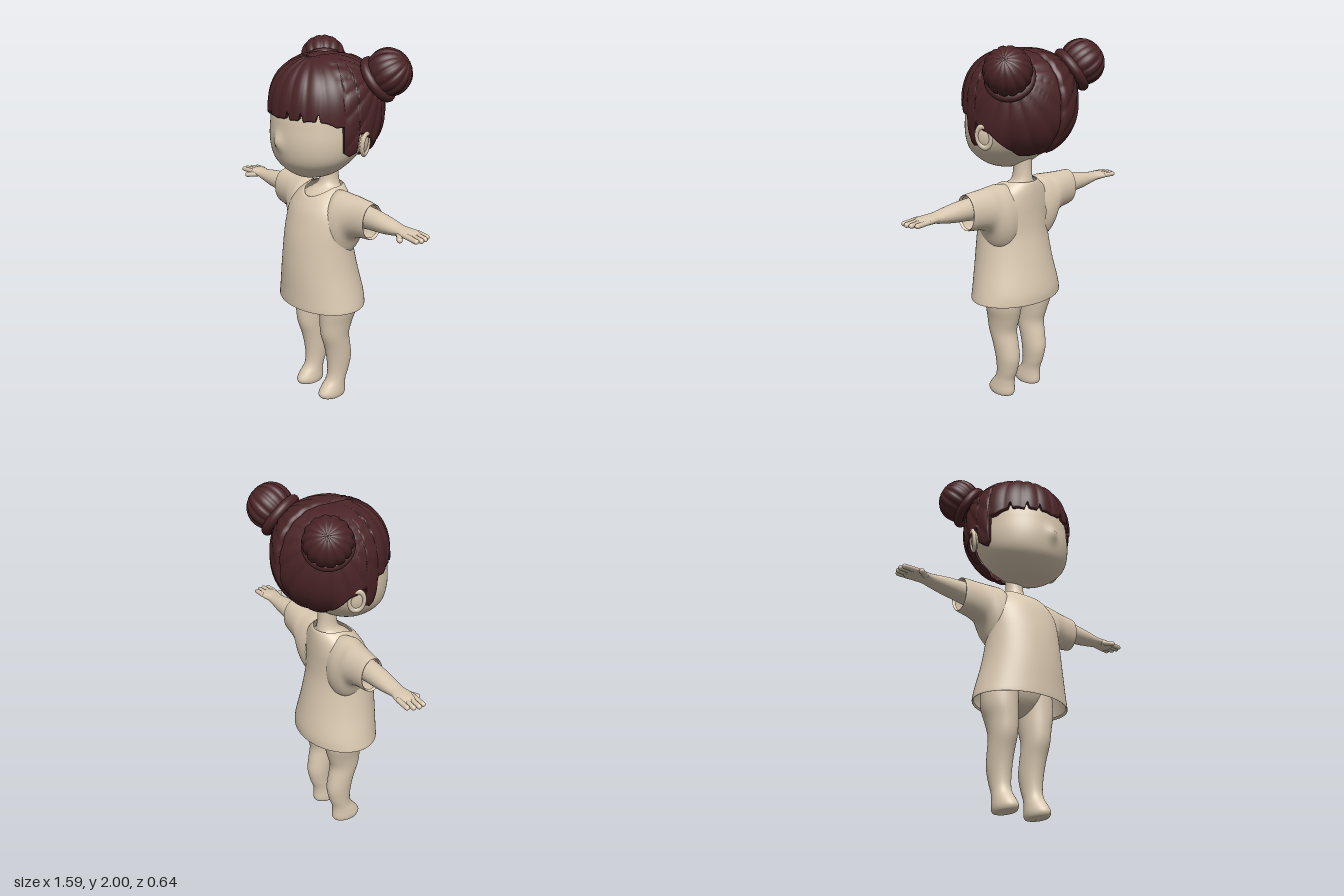
import * as THREE from 'three';

const beige = new THREE.MeshStandardMaterial({ color: 0xd9c8b0, side: THREE.DoubleSide });
beige.name = 'beige';
const maroon = new THREE.MeshStandardMaterial({ color: 0x4a2426, side: THREE.DoubleSide });
maroon.name = 'maroon';

// Smooth closed-ring surface from rings x segs points, faces turned outward
function grid(rings, segs, point) {
  const pos = [], idx = [], c = new THREE.Vector3();
  for (let i = 0; i < rings; i++)
    for (let j = 0; j < segs; j++) {
      const p = point(i, (j / segs) * Math.PI * 2);
      pos.push(...p);
      c.add(new THREE.Vector3(...p));
    }
  c.divideScalar(rings * segs);
  for (let i = 0; i < rings - 1; i++)
    for (let j = 0; j < segs; j++) {
      const k = (j + 1) % segs, a = i * segs + j, b = i * segs + k;
      idx.push(a, b, a + segs, b, b + segs, a + segs);
    }
  const v = (n) => new THREE.Vector3().fromArray(pos, idx[n] * 3).sub(c);
  let volume = 0;
  for (let n = 0; n < idx.length; n += 3) volume += v(n).dot(v(n + 1).cross(v(n + 2)));
  if (volume < 0) idx.reverse();
  const g = new THREE.BufferGeometry();
  g.setAttribute('position', new THREE.Float32BufferAttribute(pos, 3));
  g.setIndex(idx);
  g.computeVertexNormals();
  return g;
}

// Smoothly adds rows between the given ones, all of equal length
function refine(rows, steps = 4) {
  const out = [], at = (i) => rows[Math.max(0, Math.min(rows.length - 1, i))];
  for (let i = 0; i < rows.length - 1; i++)
    for (let s = 0; s < steps; s++) {
      const t = s / steps;
      out.push(rows[i].map((b, k) => {
        const a = at(i - 1)[k], c = at(i + 1)[k], d = at(i + 2)[k];
        return b + 0.5 * t * (c - a + t * (2 * a - 5 * b + 4 * c - d + t * (3 * (b - c) + d - a)));
      }));
    }
  out.push(rows[rows.length - 1]);
  return out;
}

// Upright loft, rows: y, centre x, half width, front z, back z, optional front dip
function upright(rows, segs = 40, adjust = (p) => p) {
  const r = refine(rows);
  return grid(r.length, segs, (i, t) => {
    const [y, cx, w, zf, zb, dip = 0] = r[i], c = Math.cos(t);
    return adjust([cx + w * Math.sin(t), y - dip * Math.max(0, c) ** 1.5, (zf + zb) / 2 + ((zf - zb) / 2) * c]);
  });
}

// Sideways loft, rows: x, top y, bottom y, front z, back z
function sideways(rows, side, segs = 32) {
  const r = refine(rows);
  return grid(r.length, segs, (i, t) => {
    const [x, yt, yb, zf, zb] = r[i];
    return [side * x, (yt + yb) / 2 + ((yt - yb) / 2) * Math.cos(t),
      (zf + zb) / 2 + ((zf - zb) / 2) * Math.sin(t)];
  });
}

const gauss = (d, w) => Math.exp(-((d / w) ** 2));
const mix = THREE.MathUtils.lerp, ramp = THREE.MathUtils.smoothstep;
const bunAxis = new THREE.Vector3(0.68, 0.58, -0.45).normalize();
const bunU = new THREE.Vector3(0, 1, 0).cross(bunAxis).normalize();
const bunV = bunAxis.clone().cross(bunU);

// Height of the hair edge by angle from the front, in degrees
function hairEdge(deg) {
  const a = Math.abs(deg);
  if (a < 71) {
    let y = 1.655 - 0.03 * ramp(a, 45, 71) + 0.007 * Math.abs(Math.sin(deg * 0.2));
    for (const n of [-47, -29, -15, 14, 29, 46]) y += 0.045 * gauss(deg - n, 1.5);
    return y;
  }
  if (a < 86) return 1.475 + 0.02 * Math.abs(a - 78) / 7;
  if (a < 96) return 1.59;
  return mix(1.57, 1.425, ramp(a, 94, 135));
}

// Cap of hair with strands combed to the buns and a fanned fringe
function hairShell() {
  const rings = 48;
  return grid(rings, 240, (i, t) => {
    const deg = THREE.MathUtils.radToDeg(t > Math.PI ? t - 2 * Math.PI : t);
    const edge = hairEdge(deg) - 1.66;
    const end = Math.acos(edge / (edge > 0 ? 0.295 : 0.28));
    const c = Math.cos(end * Math.max(0.002, Math.min(1, i / (rings - 2))));
    const p = c > 0 ? 2.4 : mix(3.2, 2.1, ramp(Math.abs(deg), 92, 130));
    const r = (1 - Math.abs(c) ** p) ** (1 / p);
    const v = new THREE.Vector3(0.303 * r * Math.sin(t), (c > 0 ? 0.295 : 0.28) * c, 0.305 * r * Math.cos(t));
    const d = new THREE.Vector3(Math.abs(v.x), v.y, v.z);
    const combed = Math.abs(Math.sin(8 * Math.atan2(d.dot(bunU), d.dot(bunV))));
    const fan = Math.abs(Math.sin(8 * Math.atan2(v.x, v.z - 0.08)));
    const front = ramp(v.z, 0.07, 0.11);
    const groove = gauss(v.x, 0.014) * (1 - front) * 0.05;
    v.multiplyScalar(1 + 0.03 * mix(Math.sqrt(combed), fan * 0.7, front) * ramp(r, 0, 0.5) - groove);
    const inset = i === rings - 1 ? 0.86 : 1;
    return [v.x * inset, v.y + 1.66, v.z * inset];
  });
}

export function createModel() {
  const model = new THREE.Group();
  const add = (name, geometry, material = beige, parent = model) => {
    const m = new THREE.Mesh(geometry, material);
    m.name = name;
    parent.add(m);
    return m;
  };

  // Head with a small nose drawn out of the face
  add('head', upright([
    [1.315, 0, 0.002, 0.1, 0.096], [1.322, 0, 0.07, 0.165, 0.03], [1.35, 0, 0.14, 0.22, -0.04],
    [1.4, 0, 0.205, 0.27, -0.1], [1.45, 0, 0.242, 0.293, -0.15], [1.52, 0, 0.262, 0.305, -0.2],
    [1.6, 0, 0.267, 0.302, -0.23], [1.7, 0, 0.262, 0.285, -0.25], [1.8, 0, 0.21, 0.2, -0.2],
    [1.88, 0, 0.1, 0.08, -0.1], [1.9, 0, 0.002, 0.002, -0.002],
  ], 80, ([x, y, z]) => [x, y, z + (z > 0 ? 0.024 * gauss(x, 0.03) * gauss(y - 1.53, 0.04) : 0)]));
  add('neck', upright([
    [1.1, 0, 0.17, 0.14, -0.08], [1.19, 0, 0.14, 0.118, -0.085], [1.23, 0, 0.09, 0.075, -0.083],
    [1.26, 0, 0.058, 0.042, -0.078], [1.32, 0, 0.05, 0.03, -0.072], [1.42, 0, 0.056, 0.03, -0.075],
  ]));
  add('hair', hairShell(), maroon);

  // Dress body, open at the collar and hem
  add('dressBody', upright([
    [0.6, 0, 0.272, 0.232, -0.172, 0], [0.587, 0, 0.28, 0.24, -0.178, 0], [0.6, 0, 0.281, 0.242, -0.181, 0],
    [0.66, 0, 0.268, 0.242, -0.178, 0], [0.8, 0, 0.238, 0.24, -0.147, 0], [0.95, 0, 0.222, 0.225, -0.115, 0],
    [1.05, 0, 0.222, 0.203, -0.108, 0], [1.13, 0, 0.213, 0.178, -0.108, 0], [1.2, 0, 0.17, 0.15, -0.106, 0.02],
    [1.245, 0, 0.115, 0.132, -0.1, 0.042], [1.255, 0, 0.098, 0.122, -0.092, 0.052],
  ], 64));

  // Hips under the dress
  const hips = add('hips', new THREE.SphereGeometry(1, 28, 18));
  hips.position.y = 0.7;
  hips.scale.set(0.205, 0.16, 0.12);

  for (const s of [1, -1]) {
    const side = s > 0 ? 'left' : 'right';
    add(side + 'Sleeve', sideways([
      [0.11, 1.243, 0.88, 0.1, -0.095], [0.16, 1.25, 0.88, 0.125, -0.1], [0.21, 1.248, 0.92, 0.115, -0.095],
      [0.25, 1.246, 1.0, 0.098, -0.088], [0.3, 1.244, 1.028, 0.084, -0.08], [0.392, 1.24, 1.042, 0.07, -0.066],
      [0.397, 1.234, 1.048, 0.064, -0.06], [0.385, 1.23, 1.052, 0.06, -0.056],
    ], s));
    add(side + 'Arm', sideways([
      [0.25, 1.22, 1.08, 0.06, -0.06], [0.4, 1.215, 1.1, 0.058, -0.055], [0.5, 1.205, 1.11, 0.054, -0.05],
      [0.59, 1.19, 1.126, 0.046, -0.042], [0.625, 1.186, 1.134, 0.045, -0.042], [0.67, 1.183, 1.138, 0.052, -0.052],
      [0.71, 1.177, 1.142, 0.05, -0.055], [0.735, 1.168, 1.148, 0.035, -0.045], [0.738, 1.16, 1.158, 0, -0.002],
    ], s));

    // Four fingers and a thumb
    [[0.775, 0.04], [0.782, 0.013], [0.776, -0.016], [0.76, -0.043]].forEach(([tip, z], i) => {
      const finger = add(side + 'Finger' + (i + 1), new THREE.CapsuleGeometry(0.0135, tip - 0.69, 5, 12));
      finger.position.set((s * (tip + 0.69)) / 2, 1.16, z);
      finger.rotation.z = Math.PI / 2 - s * 0.06;
    });
    const thumb = add(side + 'Thumb', new THREE.CapsuleGeometry(0.0145, 0.06, 5, 12));
    thumb.position.set(s * 0.667, 1.15, 0.053);
    thumb.quaternion.setFromUnitVectors(new THREE.Vector3(0, 1, 0), new THREE.Vector3(s * 0.78, -0.12, 0.6).normalize());

    // Leg running down into a rounded foot
    add(side + 'Leg', upright([
      [0.75, 0.11, 0.1, 0.11, -0.11], [0.58, 0.122, 0.094, 0.116, -0.108], [0.48, 0.115, 0.08, 0.115, -0.085],
      [0.4, 0.112, 0.071, 0.108, -0.064], [0.32, 0.11, 0.066, 0.083, -0.076], [0.24, 0.108, 0.061, 0.066, -0.086],
      [0.16, 0.107, 0.053, 0.06, -0.07], [0.11, 0.107, 0.05, 0.07, -0.052], [0.07, 0.107, 0.053, 0.1, -0.048],
      [0.035, 0.107, 0.056, 0.123, -0.05], [0.012, 0.107, 0.053, 0.12, -0.046], [0.001, 0.107, 0.043, 0.1, -0.03],
      [0, 0.107, 0.002, 0.03, 0.026],
    ].map(([y, x, ...rest]) => [y, s * x, ...rest])));

    // Ear with a raised rim
    const ear = new THREE.Group();
    ear.name = side + 'Ear';
    ear.position.set(s * 0.286, 1.53, -0.025);
    ear.rotation.set(0.12, s * 0.45, -s * 0.18);
    model.add(ear);
    add('earLobe', new THREE.SphereGeometry(1, 24, 16), beige, ear).scale.set(0.018, 0.06, 0.044);
    const rim = add('earRim', new THREE.TorusGeometry(0.04, 0.011, 10, 32), beige, ear);
    rim.rotation.y = Math.PI / 2;
    rim.scale.set(0.95, 1.4, 1);
    rim.position.x = s * 0.01;

    // Ribbed bun seated on a rolled ring
    const bun = new THREE.Group();
    bun.name = side + 'Bun';
    bun.position.set(s * 0.282, 1.878, -0.19);
    bun.quaternion.setFromUnitVectors(new THREE.Vector3(0, 1, 0), new THREE.Vector3(s * bunAxis.x, bunAxis.y, bunAxis.z));
    model.add(bun);
    add('bunBall', grid(21, 84, (i, t) => {
      const f = Math.max(0.001, Math.min(0.999, i / 20)) * Math.PI, k = Math.sin(f);
      const r = 0.117 + 0.009 * k * Math.sqrt(Math.abs(Math.sin(t * 7)));
      return [r * k * Math.sin(t), r * Math.cos(f) * 0.97, r * k * Math.cos(t)];
    }), maroon, bun);
    const ring = add('bunRing', new THREE.TorusGeometry(0.105, 0.027, 12, 48), maroon, bun);
    ring.rotation.x = Math.PI / 2;
    ring.position.y = -0.072;
  }
  return model;
}
